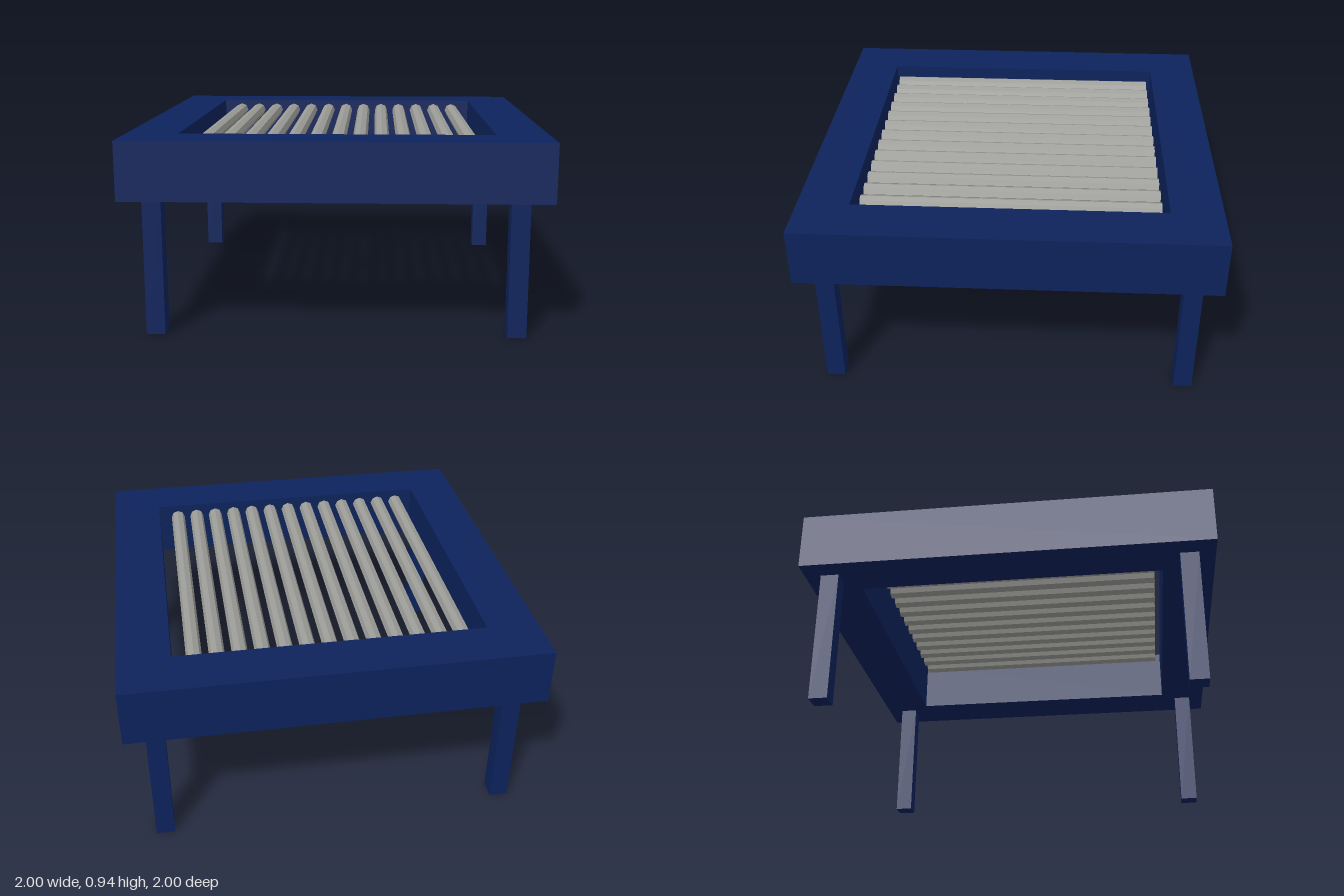
import * as THREE from 'three';

export function createModel() {
  const model = new THREE.Group();
  model.name = 'grillTable';

  const navy = new THREE.MeshStandardMaterial({ color: 0x0d235c });
  navy.name = 'navy paint';
  const steel = new THREE.MeshStandardMaterial({ color: 0x9c9c98, flatShading: true });
  steel.name = 'grey steel';

  const add = (name, geometry, material, x, y, z) => {
    const mesh = new THREE.Mesh(geometry, material);
    mesh.name = name;
    mesh.position.set(x, y, z);
    model.add(mesh);
  };

  // Square frame, open through the middle
  const square = (h) => [[-h, -h], [h, -h], [h, h], [-h, h]].map(([x, y]) => new THREE.Vector2(x, y));
  const outline = new THREE.Shape(square(1));
  outline.holes.push(new THREE.Path(square(0.75).reverse()));
  const frame = new THREE.ExtrudeGeometry(outline, { depth: 0.28, bevelEnabled: false });
  frame.rotateX(-Math.PI / 2);
  add('frame', frame, navy, 0, 0.66, 0);

  // Four square legs
  const leg = new THREE.BoxGeometry(0.09, 0.66, 0.09);
  for (const sx of [-1, 1]) {
    for (const sz of [-1, 1]) {
      add((sz > 0 ? 'front' : 'back') + (sx > 0 ? 'Left' : 'Right') + 'Leg',
        leg, navy, sx * 0.855, 0.33, sz * 0.875);
    }
  }

  // Row of eight-sided bars set inside the frame
  const bar = new THREE.CylinderGeometry(0.0375, 0.0375, 1.44, 8);
  bar.rotateX(Math.PI / 2);
  for (let i = -6; i <= 6; i++) add('grillBar' + (i + 7), bar, steel, i * 0.1075, 0.885, 0);

  return model;
}
